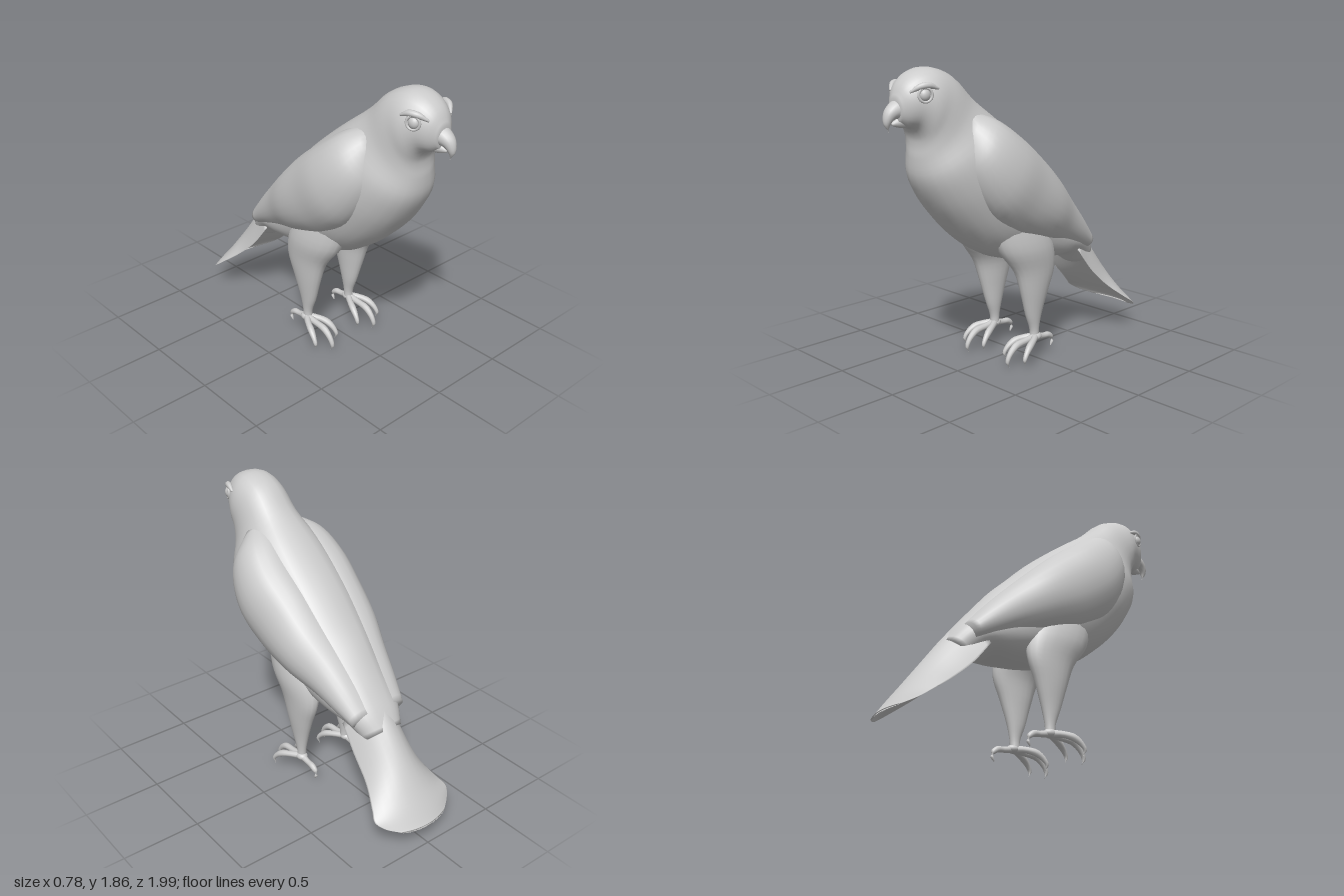
import * as THREE from 'three';

const material = new THREE.MeshStandardMaterial({ color: 0xcccccc, side: THREE.DoubleSide });
const V = (x, y, z) => new THREE.Vector3(x, y, z);

// Smooth closed skin through a row of rings that share one point count
function loft(name, rings, steps) {
  const n = rings[0].length, pos = [], index = [];
  const columns = rings[0].map((_, j) => new THREE.CatmullRomCurve3(rings.map(r => r[j])));
  for (let i = 0; i <= steps; i++) {
    for (const c of columns) pos.push(...c.getPoint(i / steps).toArray());
  }
  for (let i = 0; i < steps; i++) {
    for (let j = 0; j < n; j++) {
      const a = i * n + j, b = i * n + (j + 1) % n;
      index.push(a, b, a + n, b, b + n, a + n);
    }
  }
  // end caps
  for (const [row, flip] of [[0, true], [steps, false]]) {
    const c = V(0, 0, 0), mid = pos.length / 3;
    for (let j = 0; j < n; j++) c.add(V(...pos.slice((row * n + j) * 3, (row * n + j) * 3 + 3)));
    pos.push(...c.divideScalar(n).toArray());
    for (let j = 0; j < n; j++) {
      const a = row * n + j, b = row * n + (j + 1) % n;
      index.push(mid, flip ? b : a, flip ? a : b);
    }
  }
  // turn the skin outward if its signed volume is negative
  const p = k => V(...pos.slice(k * 3, k * 3 + 3));
  let volume = 0;
  for (let k = 0; k < index.length; k += 3) volume += p(index[k]).dot(p(index[k + 1]).cross(p(index[k + 2])));
  if (volume < 0) index.reverse();
  const g = new THREE.BufferGeometry();
  g.setAttribute('position', new THREE.Float32BufferAttribute(pos, 3));
  g.setIndex(index);
  g.computeVertexNormals();
  const mesh = new THREE.Mesh(g, material);
  mesh.name = name;
  return mesh;
}

const ring = (n, f) => Array.from({ length: n }, (_, j) => f((j / n) * Math.PI * 2));
const soft = (v, p) => Math.sign(v) * Math.abs(v) ** p;

// Oval slice from a top point to a bottom point (z, y), between x centre and half width
const slice = (tz, ty, bz, by, cx, w, n = 28, p = 0.85) => ring(n, a => {
  const s = Math.sin(a) / 2;
  return V(cx + w * soft(Math.cos(a), p), (ty + by) / 2 + (ty - by) * s, (tz + bz) / 2 + (tz - bz) * s);
});

// Tapered round limb along points [x, y, z, radius]
function limb(name, pts, steps = 14, n = 10) {
  const curve = new THREE.CatmullRomCurve3(pts.map(q => V(q[0], q[1], q[2])));
  const rings = pts.map((q, i) => {
    const t = curve.getTangent(i / (pts.length - 1));
    const u = V(0, 1, 0).cross(t).lengthSq() < 0.02 ? V(1, 0, 0) : V(0, 1, 0).cross(t).normalize();
    const v = t.clone().cross(u).normalize();
    return ring(n, a => V(q[0], q[1], q[2]).addScaledVector(u, q[3] * Math.cos(a)).addScaledVector(v, q[3] * Math.sin(a)));
  });
  return loft(name, rings, steps);
}

function ball(name, x, y, z, sx, sy, sz) {
  const m = new THREE.Mesh(new THREE.SphereGeometry(1, 20, 14), material);
  m.name = name;
  m.position.set(x, y, z);
  m.scale.set(sx, sy, sz);
  return m;
}

// Head and trunk: top z, top y, bottom z, bottom y, half width
const bodySections = [
  [0.93, 1.70, 0.915, 1.57, 0.05], [0.89, 1.78, 0.87, 1.54, 0.10], [0.81, 1.84, 0.82, 1.52, 0.14],
  [0.70, 1.86, 0.79, 1.47, 0.172], [0.56, 1.81, 0.785, 1.42, 0.182], [0.42, 1.68, 0.79, 1.35, 0.20],
  [0.25, 1.55, 0.78, 1.23, 0.26], [0.10, 1.43, 0.71, 1.09, 0.285], [-0.05, 1.30, 0.60, 0.95, 0.29],
  [-0.20, 1.15, 0.45, 0.81, 0.28], [-0.32, 1.03, 0.28, 0.70, 0.25], [-0.42, 0.91, 0.05, 0.63, 0.23],
  [-0.50, 0.81, -0.18, 0.60, 0.21], [-0.57, 0.72, -0.36, 0.59, 0.18], [-0.63, 0.63, -0.50, 0.50, 0.13],
];

// Folded wing: top z, top y, bottom z, bottom y, outer x
const wingSections = [
  [0.50, 1.61, 0.59, 1.46, 0.20], [0.36, 1.56, 0.59, 1.27, 0.33], [0.20, 1.45, 0.46, 1.03, 0.39],
  [0.02, 1.31, 0.26, 0.88, 0.375], [-0.14, 1.16, 0.02, 0.79, 0.345], [-0.29, 1.01, -0.18, 0.73, 0.285],
  [-0.43, 0.86, -0.35, 0.67, 0.24], [-0.54, 0.73, -0.49, 0.62, 0.20],
];

// Tail fan: ridge z, ridge y, edge z, edge y, half width
const tailSections = [
  [-0.50, 0.80, -0.40, 0.62, 0.18], [-0.62, 0.66, -0.52, 0.47, 0.19], [-0.75, 0.48, -0.66, 0.34, 0.21],
  [-0.86, 0.32, -0.78, 0.245, 0.262], [-0.93, 0.22, -0.84, 0.20, 0.29], [-0.975, 0.155, -0.89, 0.165, 0.255],
  [-0.99, 0.135, -0.955, 0.135, 0.17],
];

// Feathered leg: y, z centre, z radius, x centre, x radius
const legSections = [
  [0.95, 0.16, 0.20, 0.14, 0.10], [0.75, 0.08, 0.215, 0.165, 0.11], [0.60, 0.02, 0.165, 0.185, 0.076],
  [0.45, 0.02, 0.11, 0.185, 0.06], [0.30, 0.022, 0.062, 0.18, 0.042], [0.20, 0.015, 0.033, 0.18, 0.029],
  [0.14, 0.015, 0.03, 0.18, 0.029],
];

function makeFoot(side) {
  const foot = new THREE.Group();
  foot.name = 'foot';
  foot.add(ball('footPad', 0, 0.15, 0.01, 0.036, 0.027, 0.045));
  foot.add(limb('middleToe', [[0, 0.15, 0.01, 0.025], [0, 0.14, 0.10, 0.02], [0, 0.13, 0.18, 0.022],
    [0, 0.085, 0.235, 0.017], [0, 0.04, 0.255, 0.012], [0, 0.005, 0.24, 0.003]]));
  for (const s of [-1, 1]) {
    foot.add(limb('sideToe', [[0, 0.15, 0.01, 0.025], [s * 0.045, 0.145, 0.075, 0.02], [s * 0.07, 0.13, 0.13, 0.022],
      [s * 0.085, 0.095, 0.175, 0.016], [s * 0.09, 0.06, 0.195, 0.011], [s * 0.085, 0.03, 0.185, 0.003]]));
  }
  foot.add(limb('rearToe', [[0, 0.15, 0.01, 0.025], [0, 0.135, -0.06, 0.018], [0, 0.13, -0.105, 0.02],
    [0, 0.105, -0.138, 0.014], [0, 0.08, -0.145, 0.01], [0, 0.05, -0.13, 0.003]]));
  foot.position.x = side * 0.185;
  return foot;
}

export function createModel() {
  const bird = new THREE.Group();
  bird.name = 'bird';

  bird.add(loft('body', bodySections.map(([tz, ty, bz, by, w]) => slice(tz, ty, bz, by, 0, w)), 56));

  // arched tail with a shallow hollow underneath
  bird.add(loft('tail', tailSections.map(([tz, ty, ez, ey, w]) => ring(28, a => {
    const u = Math.cos(a), arch = (1 - u * u) * (Math.sin(a) >= 0 ? 1 : 0.35);
    const under = Math.sin(a) < 0 ? 0.012 * Math.sin(a) : 0;
    return V(w * u, ey + (ty - ey) * arch + under, ez + (tz - ez) * (1 - u * u));
  })), 30));

  // hooked upper beak and small lower beak
  bird.add(limb('upperBeak', [[0, 1.64, 0.86, 0.065], [0, 1.635, 0.92, 0.052], [0, 1.61, 0.96, 0.038],
    [0, 1.565, 0.979, 0.02], [0, 1.52, 0.97, 0.003]], 16, 16));
  bird.add(limb('lowerBeak', [[0, 1.575, 0.85, 0.045], [0, 1.568, 0.90, 0.032], [0, 1.56, 0.945, 0.008]], 8, 14));

  for (const side of [-1, 1]) {
    bird.add(loft('wing', wingSections.map(([tz, ty, bz, by, x]) =>
      slice(tz, ty, bz, by, side * x * 0.47, x * 0.53, 24, 0.9)), 36));

    bird.add(loft('leg', legSections.map(([y, cz, rz, cx, rx]) =>
      ring(20, a => V(side * cx + rx * Math.cos(a), y, cz + rz * Math.sin(a)))), 24));
    bird.add(makeFoot(side));

    // eye, its lid ring and the brow above it
    bird.add(ball('eye', side * 0.128, 1.72, 0.815, 0.028, 0.036, 0.034));
    const lid = new THREE.Mesh(new THREE.TorusGeometry(0.038, 0.008, 8, 24), material);
    lid.name = 'eyelid';
    lid.position.set(side * 0.137, 1.72, 0.818);
    lid.rotation.y = side * 1.15;
    bird.add(lid);
    bird.add(limb('brow', [[side * 0.085, 1.735, 0.885, 0.006], [side * 0.122, 1.765, 0.84, 0.018],
      [side * 0.142, 1.77, 0.79, 0.018], [side * 0.155, 1.75, 0.74, 0.006]], 10, 10));
  }
  return bird;
}
